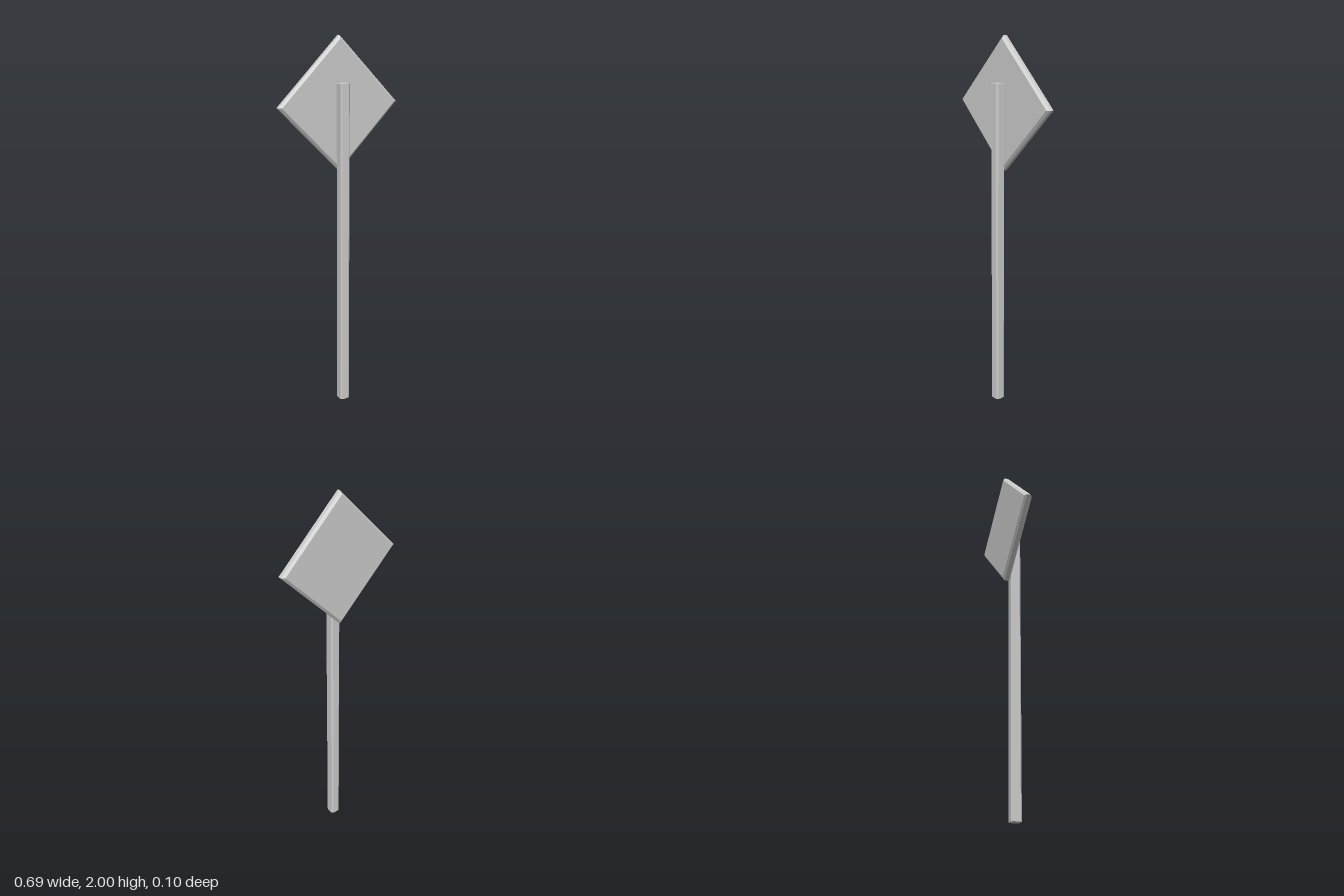
import * as THREE from 'three';

const material = new THREE.MeshStandardMaterial({ color: 0xcccccc, flatShading: true });

// Closed polygon shape from a list of [x, y] corners
const polygon = (points) => new THREE.Shape(points.map(([x, y]) => new THREE.Vector2(x, y)));

export function createModel() {
  const model = new THREE.Group();
  model.name = 'diamondSign';

  // Post: square bar with chamfered vertical edges
  const h = 0.0275, c = 0.019, postHeight = 1.765;
  const section = polygon([[h, -c], [h, c], [c, h], [-c, h], [-h, c], [-h, -c], [-c, -h], [c, -h]]);
  const postGeometry = new THREE.ExtrudeGeometry(section, { depth: postHeight, bevelEnabled: false });
  postGeometry.rotateX(-Math.PI / 2);
  const post = new THREE.Mesh(postGeometry, material);
  post.name = 'post';
  post.position.z = 0.0205;
  model.add(post);

  // Panel: bevelled square plate turned 45 degrees, fixed behind the post
  const bevel = 0.012, half = 0.345 / Math.SQRT2 - bevel, thickness = 0.043;
  const square = polygon([[-half, -half], [half, -half], [half, half], [-half, half]]);
  const panelGeometry = new THREE.ExtrudeGeometry(square, {
    depth: thickness - 0.022, bevelThickness: 0.011, bevelSize: bevel, bevelSegments: 1,
  });
  panelGeometry.center();
  const panel = new THREE.Mesh(panelGeometry, material);
  panel.name = 'signPanel';
  panel.rotation.z = Math.PI / 4;
  panel.position.set(0, 1.655, -0.0285);
  model.add(panel);

  return model;
}
